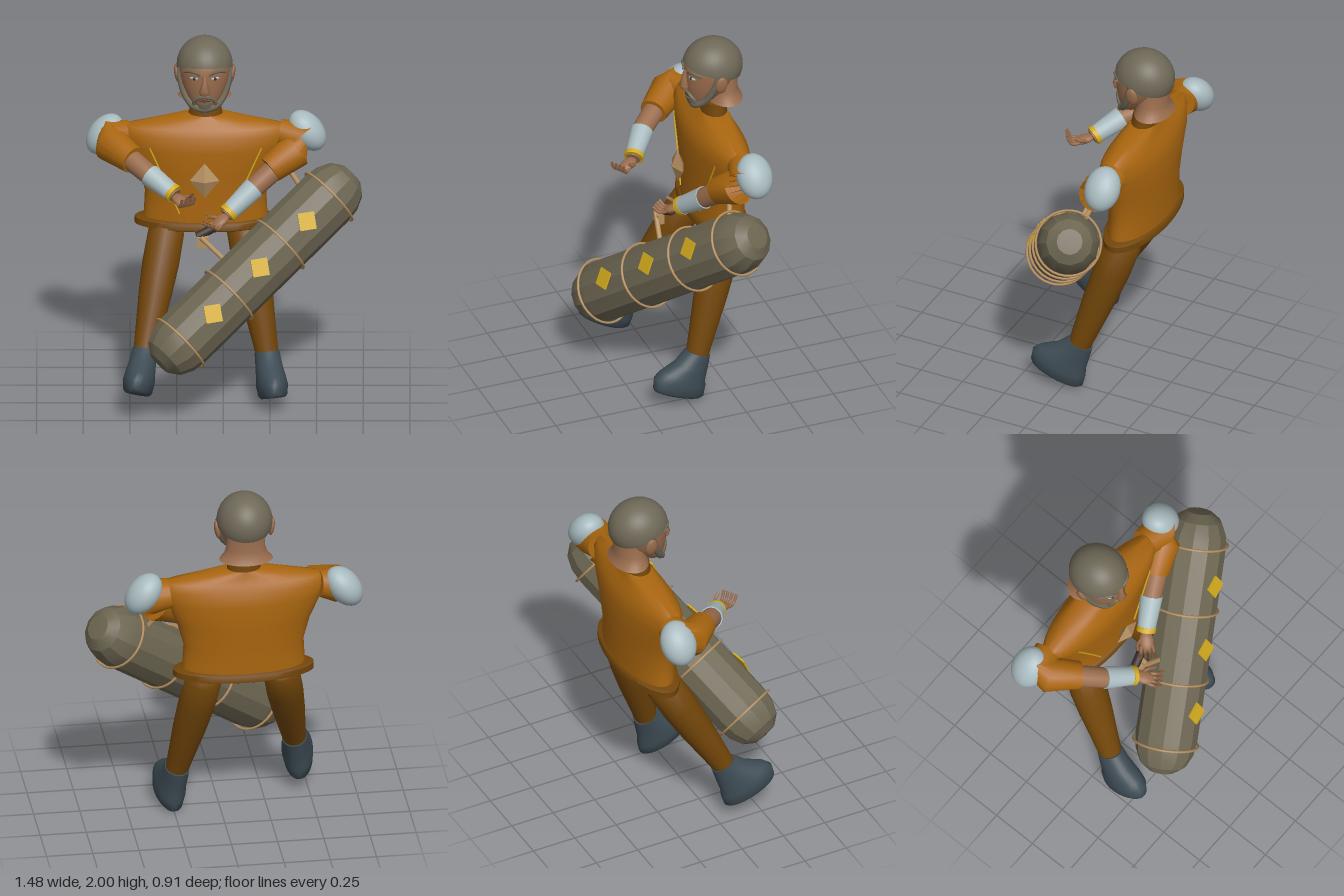
import * as THREE from 'three';
import { toCreasedNormals } from 'three/addons/utils/BufferGeometryUtils.js';

const V = (x, y, z) => new THREE.Vector3(x, y, z);
const mat = (name, color) => Object.assign(new THREE.MeshStandardMaterial({ color, side: THREE.DoubleSide }), { name });

// Skin a stack of rings { c, a, b }: centre plus two half-axis vectors, closed at both ends
function loft(rings, seg = 24, crease = 0.9) {
  const pos = [], idx = [], n = rings.length;
  for (const { c, a, b } of rings)
    for (let j = 0; j < seg; j++) {
      const t = (j / seg) * Math.PI * 2;
      const p = c.clone().addScaledVector(a, Math.cos(t)).addScaledVector(b, Math.sin(t));
      pos.push(p.x, p.y, p.z);
    }
  pos.push(...rings[0].c.toArray(), ...rings[n - 1].c.toArray());
  for (let j = 0; j < seg; j++) {
    const k = (j + 1) % seg, top = (n - 1) * seg;
    for (let i = 0; i < n - 1; i++) {
      const p = i * seg, q = p + seg;
      idx.push(p + j, p + k, q + k, p + j, q + k, q + j);
    }
    idx.push(n * seg, k, j, n * seg + 1, top + j, top + k);
  }
  const g = new THREE.BufferGeometry();
  g.setAttribute('position', new THREE.Float32BufferAttribute(pos, 3));
  g.setIndex(idx);
  return toCreasedNormals(g, crease);
}

// Horizontal rings: [y, half width, half depth, centre z]
const stack = (rows, x = 0, seg = 28) => loft(rows.map(([y, w, d, z]) =>
  ({ c: V(x, y, z), a: V(w, 0, 0), b: V(0, 0, -d) })), seg);

// Limb with round sections: [x, y, z, radius]
function limb(rows, seg = 18) {
  const pts = rows.map(r => V(r[0], r[1], r[2]));
  return loft(rows.map((r, i) => {
    const d = pts[Math.min(i + 1, pts.length - 1)].clone().sub(pts[Math.max(i - 1, 0)]).normalize();
    const ref = Math.abs(d.y) > 0.7 ? V(1, 0, 0) : V(0, 1, 0);
    const a = d.clone().cross(ref).normalize();
    return { c: pts[i], a: a.clone().multiplyScalar(r[3]), b: d.clone().cross(a).multiplyScalar(r[3]) };
  }), seg);
}

const tube = (pts, r, seg = 12) => new THREE.TubeGeometry(
  new THREE.CatmullRomCurve3(pts.map(p => V(...p))), seg, r, 6);

export function createModel() {
  const root = new THREE.Group();
  const tunic = mat('tunicOrange', 0xa8650f), trouser = mat('trouserBrown', 0x714509);
  const skin = mat('skin', 0x9a6d4d), hair = mat('hairGrey', 0x6e6857), pad = mat('paleBlueGrey', 0xa9bbbf);
  const boot = mat('bootSlate', 0x3d4b53), sack = mat('sackGrey', 0x6c6551), gold = mat('gold', 0xd2aa1c);
  const cord = mat('cordTan', 0xb58f60), dark = mat('darkBrown', 0x3a2c25);
  const add = (name, geo, m, parent = root) => {
    const mesh = new THREE.Mesh(geo, m);
    mesh.name = name;
    parent.add(mesh);
    return mesh;
  };
  const ball = (name, m, p, s, parent = root) => {
    const b = add(name, new THREE.SphereGeometry(1, 24, 16), m, parent);
    b.position.set(...p);
    b.scale.set(...s);
    return b;
  };
  const CX = -0.095;

  // Tunic, hem and collar
  add('tunic', stack([[0.95, 0.335, 0.135, -0.285], [1.02, 0.33, 0.135, -0.285], [1.12, 0.325, 0.135, -0.287],
    [1.25, 0.36, 0.14, -0.288], [1.38, 0.42, 0.143, -0.288], [1.46, 0.45, 0.13, -0.285], [1.5, 0.43, 0.105, -0.285],
    [1.535, 0.25, 0.085, -0.29], [1.565, 0.1, 0.07, -0.295]], CX, 40), tunic);
  add('hem', stack([[0.925, 0.35, 0.13, -0.285], [0.935, 0.38, 0.148, -0.285], [0.97, 0.38, 0.148, -0.285],
    [0.98, 0.35, 0.138, -0.285]], CX, 40), trouser);
  add('collar', stack([[1.53, 0.1, 0.075, -0.295], [1.59, 0.085, 0.066, -0.295], [1.63, 0.08, 0.062, -0.297]], CX), trouser);
  for (const s of [-1, 1])
    add('chestChain', tube([[CX + s * 0.3, 1.4, -0.185], [CX + s * 0.22, 1.22, -0.172],
      [CX + s * 0.14, 1.03, -0.16]], 0.005), gold);
  const gem = add('chestDiamond', new THREE.OctahedronGeometry(1).toNonIndexed(), cord);
  gem.position.set(-0.1, 1.25, -0.09);
  gem.scale.set(0.08, 0.1, 0.035);

  // Head, built around its own middle line
  const head = new THREE.Group();
  head.name = 'head';
  head.position.x = -0.1;
  root.add(head);
  add('face', stack([[1.625, 0.03, 0.03, -0.2], [1.65, 0.07, 0.06, -0.215], [1.7, 0.1, 0.095, -0.24],
    [1.76, 0.125, 0.13, -0.265], [1.83, 0.137, 0.145, -0.28], [1.89, 0.138, 0.15, -0.285],
    [1.95, 0.09, 0.1, -0.29]]), skin, head);
  add('neck', stack([[1.82, 0.1, 0.09, -0.34], [1.71, 0.105, 0.085, -0.34], [1.67, 0.12, 0.09, -0.345],
    [1.645, 0.145, 0.1, -0.35]].reverse()), skin, head);
  const cap = add('hair', new THREE.SphereGeometry(1, 32, 18, 0, Math.PI * 2, 0, Math.PI * 0.53), hair, head);
  cap.scale.set(0.15, 0.155, 0.165);
  const capTilt = new THREE.Matrix4().makeRotationX(-0.33);
  cap.geometry.applyMatrix4(capTilt);
  cap.position.set(0, 1.845, -0.29);
  add('nose', loft([[1.73, 0.025, 0.02, -0.13], [1.75, 0.03, 0.032, -0.132], [1.8, 0.014, 0.02, -0.132],
    [1.84, 0.012, 0.012, -0.135]].map(([y, w, d, z]) => ({ c: V(0, y, z), a: V(w, 0, 0), b: V(0, 0, -d) })), 10), skin, head);
  for (const s of [-1, 1]) {
    ball('ear', skin, [s * 0.147, 1.795, -0.285], [0.016, 0.053, 0.034], head).rotation.z = -s * 0.15;
    ball('eyeWhite', pad, [s * 0.055, 1.818, -0.152], [0.026, 0.009, 0.01], head).rotation.y = s * 0.35;
    ball('pupil', dark, [s * 0.055, 1.818, -0.146], [0.009, 0.009, 0.007], head);
    add('eyebrow', tube([[s * 0.022, 1.842, -0.138], [s * 0.065, 1.858, -0.145], [s * 0.11, 1.845, -0.187]], 0.009), hair, head);
    add('jawBeard', tube([[s * 0.137, 1.85, -0.275], [s * 0.128, 1.77, -0.25], [s * 0.1, 1.69, -0.215],
      [s * 0.055, 1.645, -0.175], [0, 1.63, -0.17]], 0.019, 20), hair, head);
    add('moustache', tube([[0, 1.715, -0.138], [s * 0.03, 1.707, -0.145], [s * 0.055, 1.68, -0.163],
      [s * 0.057, 1.65, -0.175]], 0.011), hair, head);
  }
  add('chinBeard', stack([[1.61, 0.02, 0.018, -0.18], [1.64, 0.05, 0.038, -0.188], [1.67, 0.04, 0.03, -0.175]]), hair, head);
  ball('mouth', dark, [0, 1.687, -0.146], [0.03, 0.004, 0.007], head);

  // Arms: rows run from shoulder to wrist, cut into sleeve, skin, bracer and band
  function arm(name, sleeve, elbow, bracer, wrist, padPos, padTilt) {
    const g = new THREE.Group();
    g.name = name;
    root.add(g);
    add('sleeve', limb(sleeve), tunic, g);
    add('forearm', limb([elbow, bracer, wrist]), skin, g);
    const at = (t, r) => [0, 1, 2].map(i => bracer[i] + (wrist[i] - bracer[i]) * t).concat(r);
    add('bracer', limb([at(0, 0.062), at(0.85, 0.05)]), pad, g);
    add('band', limb([at(0.83, 0.053), at(0.96, 0.053)]), gold, g);
    ball('shoulderPad', pad, padPos, [0.085, 0.125, 0.098], g).rotation.z = padTilt;
    return g;
  }
  const armR = arm('rightArm', [[-0.5, 1.44, -0.31, 0.07], [-0.6, 1.425, -0.29, 0.1], [-0.6, 1.4, -0.23, 0.097],
    [-0.48, 1.365, -0.1, 0.075]], [-0.52, 1.375, -0.14, 0.06], [-0.395, 1.32, 0, 0.055], [-0.255, 1.245, 0.105, 0.038],
  [-0.635, 1.425, -0.325], -0.65);
  const armL = arm('leftArm', [[0.3, 1.44, -0.3, 0.08], [0.43, 1.42, -0.29, 0.105], [0.38, 1.36, -0.25, 0.1],
    [0.25, 1.275, -0.185, 0.075]], [0.29, 1.29, -0.2, 0.06], [0.165, 1.19, -0.14, 0.056], [0.015, 1.065, -0.055, 0.038],
  [0.45, 1.45, -0.315], 0.65);

  // Hands point along local z, palm up; curl bends the fingers
  function hand(parent, from, to, side, curl) {
    const h = new THREE.Group();
    h.name = 'hand';
    h.position.set(...from);
    h.lookAt(V(...to));
    parent.add(h);
    ball('palm', skin, [0, 0, 0.045], [0.038, 0.022, 0.055], h);
    for (let i = 0; i < 4; i++) {
      const x = (i - 1.5) * 0.02;
      add('finger', tube([[x, 0, 0.07], [x * 1.2, 0.01, 0.11], [x * 1.3, 0.01 + curl, 0.145 - curl * 0.4]], 0.009), skin, h);
    }
    add('thumb', tube([[side * 0.025, 0, 0.03], [side * 0.05, 0.025, 0.06], [side * 0.05, 0.05, 0.085]], 0.01), skin, h);
  }
  hand(armR, [-0.255, 1.245, 0.105], [-0.17, 1.2, 0.25], 1, 0.05);
  hand(armL, [0.015, 1.065, -0.055], [-0.06, 1.01, 0.02], -1, 0.04);

  // Legs and boots
  for (const [name, hip, ankle, pitch, lean, yaw] of [
    ['rightLeg', [-0.3, 0.92, -0.26], [-0.42, 0.33, 0.06], -0.45, -0.16, -0.08],
    ['leftLeg', [0.11, 0.92, -0.28], [0.235, 0.26, -0.07], -0.38, 0.12, 0.1]]) {
    const g = new THREE.Group();
    g.name = name;
    root.add(g);
    const at = (t, r) => [0, 1, 2].map(i => hip[i] + (ankle[i] - hip[i]) * t).concat(r);
    add('trouserLeg', limb([at(0, 0.08), at(0.04, 0.098), at(0.3, 0.1), at(0.55, 0.09), at(0.8, 0.074), at(1.03, 0.06)]), trouser, g);
    const b = add('boot', stack([[0, 0.065, 0.145, 0.045], [0.015, 0.078, 0.158, 0.045], [0.07, 0.085, 0.16, 0.055],
      [0.11, 0.08, 0.14, 0.05], [0.17, 0.073, 0.1, 0.018], [0.25, 0.067, 0.07, 0]]), boot, g);
    b.rotation.set(pitch, yaw, lean);
    b.position.set(...ankle).sub(V(0, 0.24, 0).applyEuler(b.rotation));
  }

  // Long faceted sack lying diagonally across the body, tied with four rings
  const axis = V(0.706, 0.586, -0.405).normalize(), mid = V(0.172, 0.8, 0.057);
  const bag = new THREE.Group();
  bag.name = 'sack';
  bag.position.copy(mid);
  bag.quaternion.setFromUnitVectors(V(0, 1, 0), axis);
  root.add(bag);
  const half = [[0, 0.735], [0.07, 0.73], [0.125, 0.69], [0.158, 0.62], [0.168, 0.54]];
  const profile = [...half.map(([r, y]) => new THREE.Vector2(r, -y)), ...half.slice().reverse().map(([r, y]) => new THREE.Vector2(r, y))];
  add('sackBody', toCreasedNormals(new THREE.LatheGeometry(profile, 12), 0.4), sack, bag);
  for (const y of [-0.57, -0.2, 0.19, 0.56]) {
    const ring = add('tieRing', new THREE.TorusGeometry(0.176, 0.007, 6, 32), cord, bag);
    ring.rotation.x = Math.PI / 2;
    ring.position.y = y;
  }

  // Gold patches along the front of the sack
  const out = V(0.15, 0.42, 0.9).normalize();
  for (const i of [-1, 0, 1]) {
    const p = add('goldPatch', new THREE.BoxGeometry(0.09, 0.095, 0.009), gold);
    p.position.copy(mid).addScaledVector(axis, i * 0.357).addScaledVector(out, 0.173);
    p.lookAt(p.position.clone().add(out));
    p.rotateZ(0.1);
  }

  // Grip held in the left hand and the pegs that join it to the sack
  add('grip', limb([[-0.14, 0.965, 0.0, 0.024], [-0.03, 1.015, -0.03, 0.024]], 10), dark);
  add('gripBlock', new THREE.BoxGeometry(0.06, 0.06, 0.04), cord).position.set(-0.11, 0.94, 0.015);
  add('lowerPeg', limb([[-0.12, 0.97, 0.03, 0.014], [0.06, 0.8, 0.06, 0.014]], 8), cord);
  add('upperPeg', limb([[0.35, 1.27, -0.21, 0.014], [0.47, 1.1, -0.16, 0.014]], 8), cord);
  return root;
}
